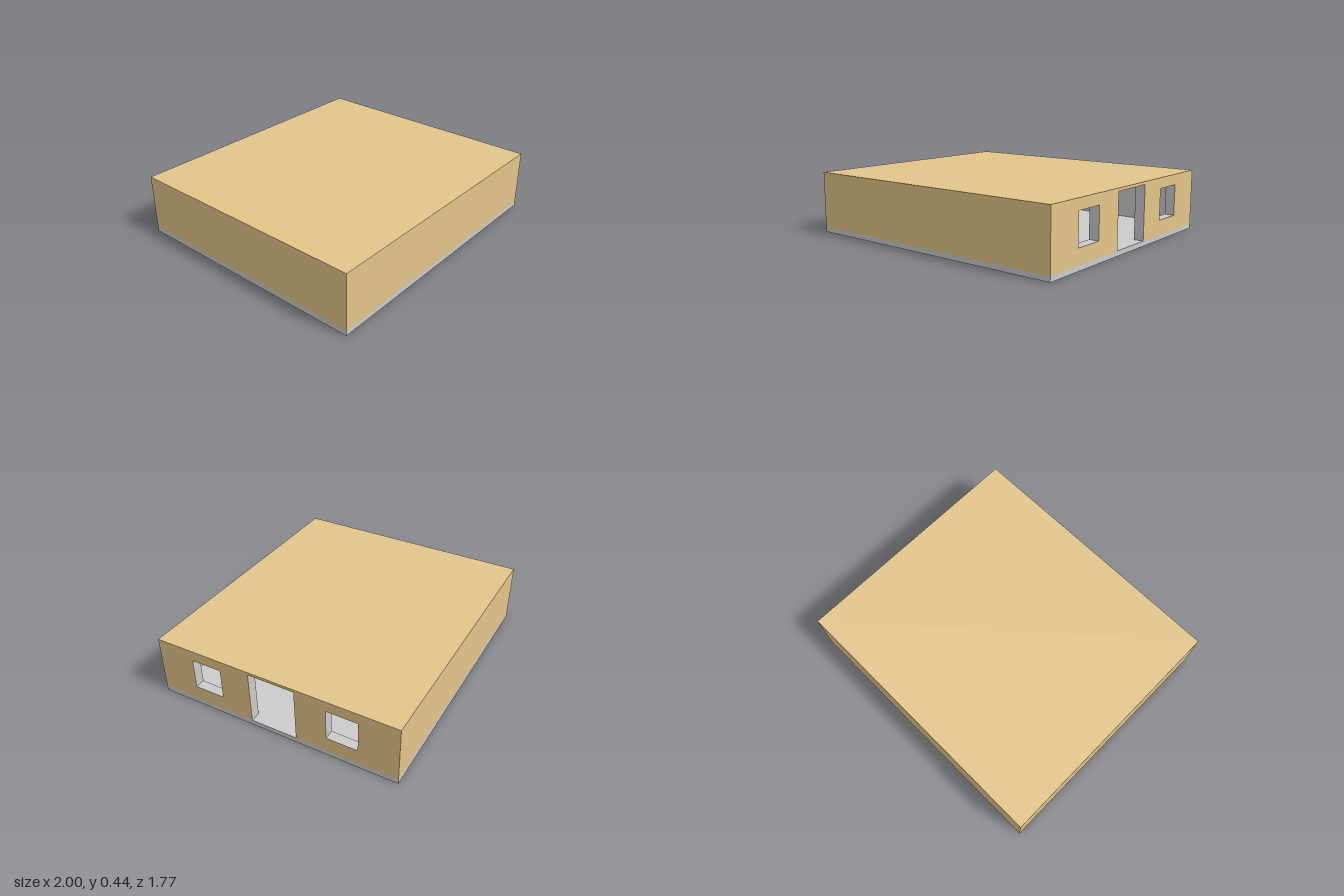
import * as THREE from 'three';

const grey = new THREE.MeshStandardMaterial({ color: 0xcccccc });
const tan = new THREE.MeshStandardMaterial({ color: 0xe3c58a });
const green = new THREE.MeshStandardMaterial({ color: 0x93cc93 });

const X = 1, Z = 0.885, FLOOR = 0.035, TOP = 0.435;
const WALL = 0.07, SKIN = 0.002;

export function createModel() {
  const house = new THREE.Group();
  house.name = 'house';

  const add = (name, geometry, material) => {
    const mesh = new THREE.Mesh(geometry, material);
    mesh.name = name;
    house.add(mesh);
  };

  // box given by its lower and upper limits on each axis
  const box = (name, material, [x0, x1], [y0, y1], [z0, z1]) => {
    const g = new THREE.BoxGeometry(x1 - x0, y1 - y0, z1 - z0);
    g.translate((x0 + x1) / 2, (y0 + y1) / 2, (z0 + z1) / 2);
    add(name, g, material);
  };

  // entrance wall: doorway notch and two square windows
  const entrance = (name, material, x0, depth, halfWidth, top) => {
    const s = new THREE.Shape();
    const d = 0.168, doorTop = 0.415;
    [[-halfWidth, FLOOR], [-d, FLOOR], [-d, doorTop], [d, doorTop], [d, FLOOR],
      [halfWidth, FLOOR], [halfWidth, top], [-halfWidth, top]]
      .forEach(([x, y], i) => (i ? s.lineTo(x, y) : s.moveTo(x, y)));
    for (const c of [-0.5, 0.5]) {
      const hole = new THREE.Path();
      hole.moveTo(c - 0.11, 0.14);
      hole.lineTo(c - 0.11, 0.36);
      hole.lineTo(c + 0.11, 0.36);
      hole.lineTo(c + 0.11, 0.14);
      hole.closePath();
      s.holes.push(hole);
    }
    const g = new THREE.ExtrudeGeometry(s, { depth, bevelEnabled: false });
    g.rotateY(Math.PI / 2);
    g.translate(x0, 0, 0);
    add(name, g, material);
  };

  box('floorSlab', grey, [-X, X], [0, FLOOR], [-Z, Z]);

  // grey wall cores
  const xi = X - WALL, zi = Z - WALL, xs = X - SKIN, zs = Z - SKIN, ys = TOP - SKIN;
  box('frontWall', grey, [-xs, xi], [FLOOR, ys], [zi, zs]);
  box('backWall', grey, [-xs, xi], [FLOOR, ys], [-zs, -zi]);
  box('farWall', grey, [-xs, -xi], [FLOOR, ys], [-zi, zi]);
  entrance('entranceWall', grey, xi, WALL - SKIN, zs, ys);
  box('ceiling', grey, [-xi, xi], [0.415, ys], [-zi, zi]);

  // thin coloured cladding outside the cores
  box('frontCladding', tan, [-X, X], [FLOOR, ys], [zs, Z]);
  box('backCladding', tan, [-X, X], [FLOOR, ys], [-Z, -zs]);
  box('farCladding', tan, [-X, -xs], [FLOOR, ys], [-zs, zs]);
  entrance('entranceCladding', tan, xs, SKIN, zs, ys);
  box('roof', tan, [-X, X], [ys, TOP], [-Z, Z]);

  // interior: low counter with a grey panel, and a partition behind it
  box('counter', green, [-0.6, -0.35], [FLOOR, 0.205], [-zi, 0.495]);
  box('counterPanel', grey, [-0.36, -0.345], [FLOOR, 0.195], [0, 0.06]);
  box('partition', grey, [-0.67, -0.6], [FLOOR, 0.415], [-zi, -0.44]);

  return house;
}
